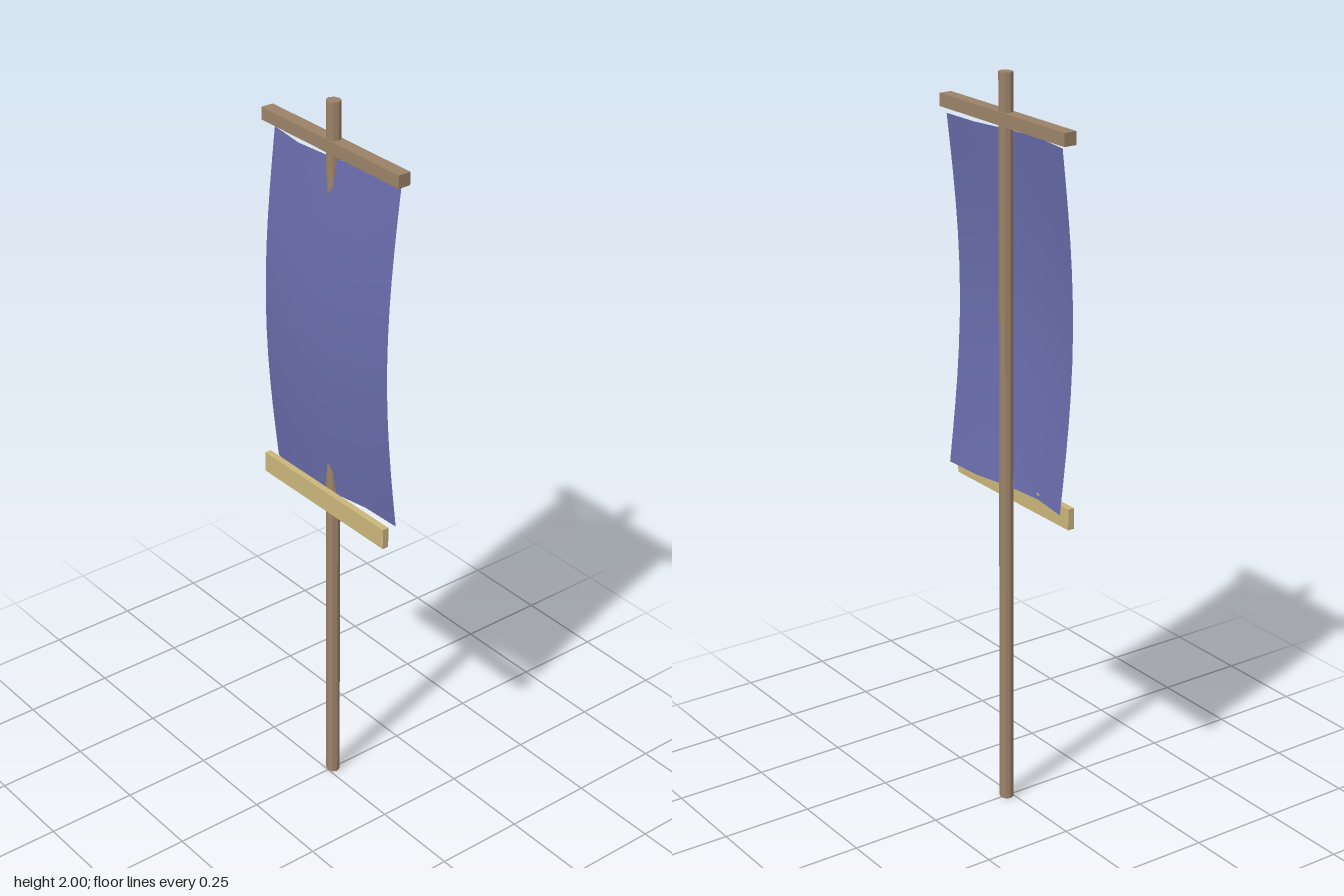
import * as THREE from 'three';

const material = (name, color, options = {}) => {
  const m = new THREE.MeshStandardMaterial({ color, ...options });
  m.name = name;
  return m;
};

export function createModel() {
  const group = new THREE.Group();
  group.name = 'banner';

  const wood = material('brown wood', 0x9b8268, { flatShading: true });
  const trim = material('pale gold', 0xcab67a, { flatShading: true });
  const fabric = material('blue violet cloth', 0x696cab, { side: THREE.DoubleSide });

  const add = (name, geometry, mat, x, y, z) => {
    const mesh = new THREE.Mesh(geometry, mat);
    mesh.name = name;
    mesh.position.set(x, y, z);
    group.add(mesh);
  };

  // Upright pole, slightly flattened front to back
  const pole = new THREE.CylinderGeometry(0.02, 0.02, 2, 8);
  pole.scale(1, 1, 0.9);
  add('pole', pole, wood, 0, 1, -0.017);

  // Crossbar above the cloth and weighted strip below it
  add('crossbar', new THREE.BoxGeometry(0.53, 0.034, 0.035), wood, 0, 1.884, -0.0175);
  add('bottomTrim', new THREE.BoxGeometry(0.494, 0.057, 0.018), trim, 0, 0.897, 0.009);

  // Hanging cloth: folds across its width plus a forward billow
  const width = 0.47, height = 0.945, columns = 4;
  const folds = [-0.018, -0.001, -0.01, -0.031, -0.034];
  const cloth = new THREE.PlaneGeometry(width, height, columns, 12);
  const p = cloth.attributes.position;
  for (let i = 0; i < p.count; i++) {
    const column = Math.round((p.getX(i) / width + 0.5) * columns);
    const t = p.getY(i) / height + 0.5;
    p.setZ(i, folds[column] + 0.036 * Math.sin(Math.PI * t));
  }
  cloth.computeVertexNormals();
  add('cloth', cloth, fabric, 0, 1.855 - height / 2, 0);

  return group;
}
